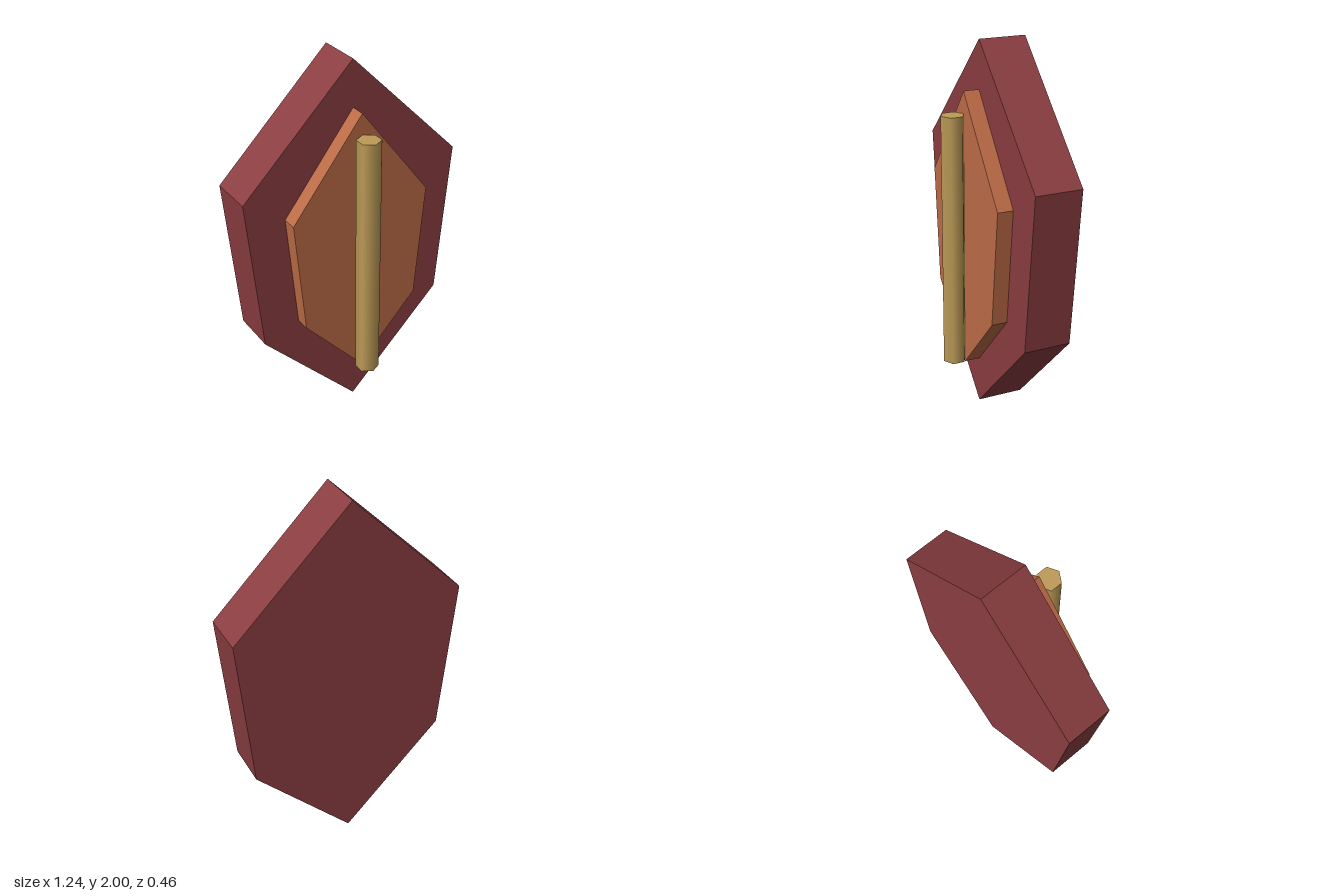
import * as THREE from 'three';

const material = (name, color) => {
  const m = new THREE.MeshStandardMaterial({ color });
  m.name = name;
  return m;
};

// Six-sided plate, mirrored about x = 0, extruded from zBack to zFront
function hexPlate(name, { top, shoulder, hip, bottom }, zBack, zFront, mat) {
  const outline = new THREE.Shape([
    [0, bottom], hip, shoulder, [0, top],
    [-shoulder[0], shoulder[1]], [-hip[0], hip[1]],
  ].map(([x, y]) => new THREE.Vector2(x, y)));
  const geometry = new THREE.ExtrudeGeometry(outline, { depth: zFront - zBack, bevelEnabled: false });
  geometry.translate(0, 0, zBack);
  const mesh = new THREE.Mesh(geometry, mat);
  mesh.name = name;
  return mesh;
}

export function createModel() {
  const group = new THREE.Group();
  group.name = 'shield';

  const red = material('dark red', 0x8a3d40);
  const copper = material('copper', 0xbc6b46);
  const brass = material('brass', 0xbd9b57);

  // Thick main body
  group.add(hexPlate('body',
    { top: 2, shoulder: [0.618, 1.382], hip: [0.535, 0.54], bottom: 0 }, -0.23, 0.022, red));

  // Raised panel on the front
  group.add(hexPlate('panel',
    { top: 1.75, shoulder: [0.393, 1.24], hip: [0.335, 0.62], bottom: 0.257 }, 0.022, 0.106, copper));

  // Six-sided upright rod, smooth shaded
  const rod = new THREE.Mesh(new THREE.CylinderGeometry(0.063, 0.063, 1.35, 6), brass);
  rod.name = 'rod';
  rod.position.set(0, 0.96, 0.167);
  group.add(rod);

  return group;
}
